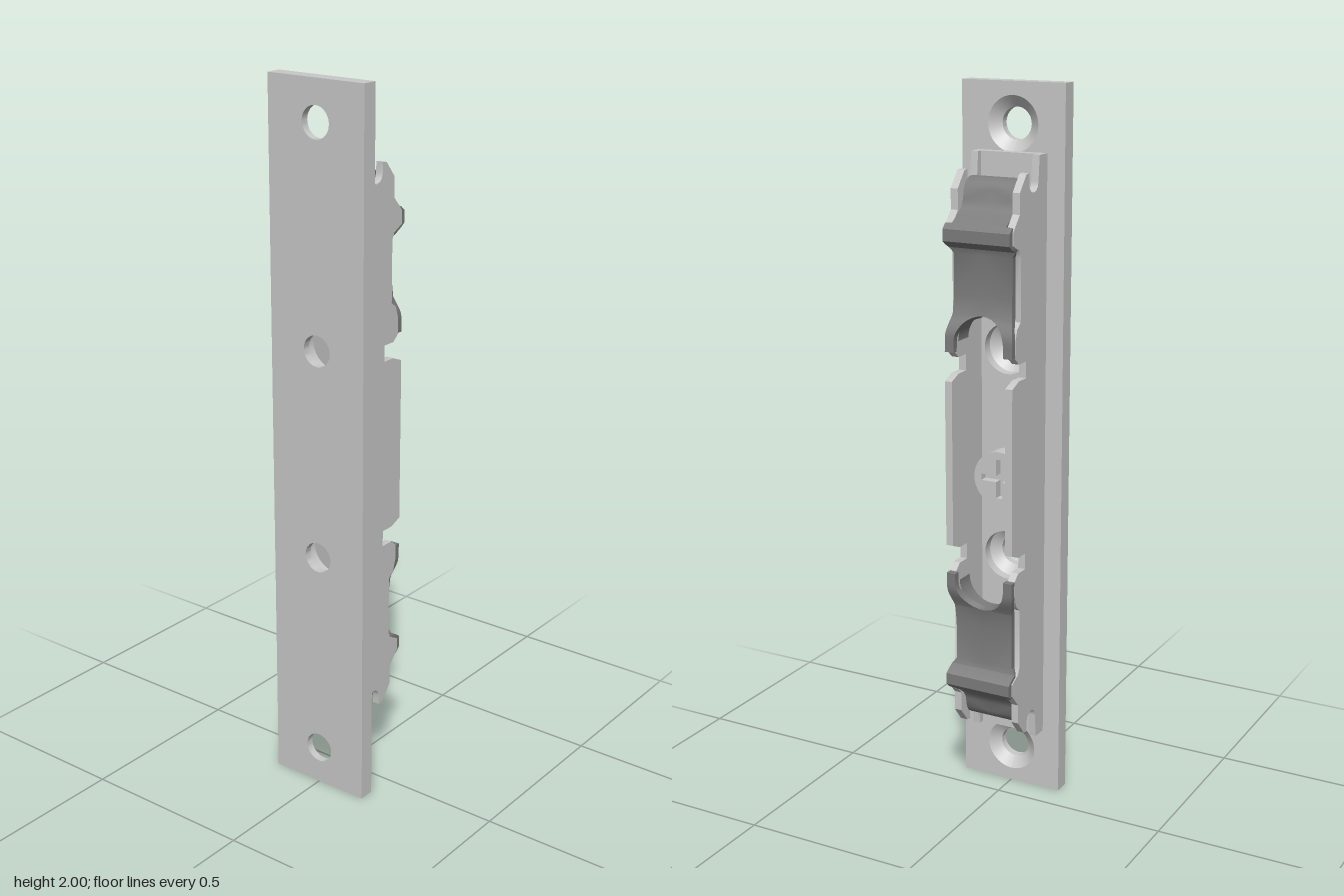
import * as THREE from 'three';
import { toCreasedNormals } from 'three/addons/utils/BufferGeometryUtils.js';

const steel = new THREE.MeshStandardMaterial({ color: 0xc8c8c8 });
steel.name = 'light steel';
const steelThin = steel; // one colour for plate, channel and screw
const spring = new THREE.MeshStandardMaterial({ color: 0x7c7c7c, side: THREE.DoubleSide });
spring.name = 'dark spring steel';

const HOLES = [0.11, 0.705, 1.295, 1.89];

function add(parent, name, geometry, material) {
  const mesh = new THREE.Mesh(geometry, material);
  mesh.name = name;
  parent.add(mesh);
  return mesh;
}

// Upright slab between z0 and z1, pierced by round holes on the centre line
function slab(halfWidth, y0, y1, z0, z1, holes, radius) {
  const shape = new THREE.Shape([[-halfWidth, y0], [halfWidth, y0], [halfWidth, y1], [-halfWidth, y1]]
    .map(([x, y]) => new THREE.Vector2(x, y)));
  for (const y of holes) {
    shape.holes.push(new THREE.Path().absarc(0, y, radius, 0, Math.PI * 2, true));
  }
  const g = new THREE.ExtrudeGeometry(shape, { depth: z1 - z0, bevelEnabled: false, curveSegments: 20 });
  g.translate(0, 0, z0);
  return toCreasedNormals(g, 0.6);
}

// Side wall outline as [z, y]; the upper half is mirrored about y = 1
function wallGeometry(x0, x1) {
  const half = [[0.08, 1.82], [0.036, 1.82], [0.03, 1.755]];
  for (let i = 0; i <= 6; i++) { // rounded slot bottom
    const a = Math.PI * i / 6;
    half.push([0.004 + 0.026 * Math.cos(a), 1.753 - 0.026 * Math.sin(a)]);
  }
  half.push([-0.022, 1.78], [-0.038, 1.778], [-0.073, 1.735], [-0.073, 1.68], [-0.108, 1.64],
    [-0.108, 1.605], [-0.075, 1.588], [-0.066, 1.57], [-0.066, 1.40], [-0.085, 1.385],
    [-0.096, 1.35], [-0.096, 1.308], [-0.075, 1.29], [-0.035, 1.29], [-0.035, 1.245],
    [-0.075, 1.245], [-0.112, 1.23]);
  const all = half.concat(half.slice().reverse().map(([z, y]) => [z, 2 - y]));
  const shape = new THREE.Shape(all.map(([z, y]) => new THREE.Vector2(z, y)));
  const g = new THREE.ExtrudeGeometry(shape, { depth: x1 - x0, bevelEnabled: false });
  g.rotateY(-Math.PI / 2);
  g.translate(x1, 0, 0);
  return toCreasedNormals(g, 0.6);
}

// Half of a bent spring strip, swept through stations [z, y, inner x, outer x]
function stripGeometry(stations, side, flipY) {
  const t = 0.018, pos = [], index = [];
  stations.forEach(([z, y, xi, xo], i) => {
    const a = stations[Math.max(i - 1, 0)], b = stations[Math.min(i + 1, stations.length - 1)];
    const dz = b[0] - a[0], dy = b[1] - a[1], len = Math.hypot(dz, dy);
    const nz = -dy / len * t, ny = dz / len * t; // towards the inside of the channel
    const put = (x, zz, yy) => pos.push(x * side, flipY ? 2 - yy : yy, zz);
    put(xi, z, y);
    put(xo, z, y);
    put(xo, z + nz, y + ny);
    put(xi, z + nz, y + ny);
  });
  const flip = (side < 0) !== flipY;
  const quad = (a, b, c, d) => index.push(...(flip ? [a, c, b, a, d, c] : [a, b, c, a, c, d]));
  for (let i = 0; i < stations.length - 1; i++) {
    const p = i * 4, q = p + 4;
    for (let k = 0; k < 4; k++) {
      if (k === 3 && stations[i][2] === 0 && stations[i + 1][2] === 0) continue; // closed centre seam
      const n = (k + 1) % 4;
      quad(p + k, p + n, q + n, q + k);
    }
  }
  const e = (stations.length - 1) * 4;
  quad(3, 2, 1, 0);
  quad(e, e + 1, e + 2, e + 3);
  const g = new THREE.BufferGeometry();
  g.setAttribute('position', new THREE.Float32BufferAttribute(pos, 3));
  g.setIndex(index);
  return toCreasedNormals(g, 0.6);
}

function springStations() {
  const s = [[0.003, 1.762, 0, 0.079], [-0.016, 1.76, 0, 0.079], [-0.032, 1.75, 0, 0.079],
    [-0.043, 1.733, 0, 0.079], [-0.048, 1.705, 0, 0.079], [-0.058, 1.685, 0, 0.079],
    [-0.08, 1.668, 0, 0.079], [-0.106, 1.652, 0, 0.079], [-0.107, 1.651, 0, 0.098],
    [-0.123, 1.637, 0, 0.098], [-0.123, 1.605, 0, 0.098], [-0.108, 1.594, 0, 0.098],
    [-0.09, 1.585, 0, 0.098], [-0.085, 1.57, 0, 0.086], [-0.085, 1.46, 0, 0.086]];
  // lower end flares out around an arched cut-out
  const r = 0.074, yc = 1.336;
  for (let i = 0; i <= 8; i++) {
    const a = Math.PI / 2 * (1 - i / 8), y = yc + r * Math.sin(a);
    const k = THREE.MathUtils.smoothstep(1.43 - y, 0, 0.08);
    s.push([-0.086 - 0.026 * k, y, i ? r * Math.cos(a) : 0, 0.086 + 0.014 * k]);
  }
  s.push([-0.113, 1.31, r, 0.1]);
  return s;
}

export function createModel() {
  const model = new THREE.Group();
  model.name = 'springCatchOnPlate';

  // Mounting plate with countersunk holes opening to the back
  const plate = new THREE.Group();
  plate.name = 'mountingPlate';
  model.add(plate);
  add(plate, 'plateFront', slab(0.152, 0, 2, 0.103, 0.125, HOLES, 0.043), steel);
  add(plate, 'plateBack', slab(0.152, 0, 2, 0.08, 0.103, HOLES, 0.074), steel);
  for (const y of HOLES) {
    const cone = new THREE.CylinderGeometry(0.043, 0.074, 0.023, 40, 1, true);
    cone.rotateX(Math.PI / 2);
    cone.translate(0, y, 0.0915);
    // turn the faces towards the hole axis
    const ix = cone.index;
    for (let i = 0; i < ix.count; i += 3) {
      const b = ix.getX(i + 1);
      ix.setX(i + 1, ix.getX(i + 2));
      ix.setX(i + 2, b);
    }
    cone.computeVertexNormals();
    add(plate, 'countersink', cone, steel);
  }

  // U-shaped channel
  const channel = new THREE.Group();
  channel.name = 'channel';
  model.add(channel);
  add(channel, 'channelWeb', slab(0.08, 0.18, 1.82, 0.052, 0.08, [0.705, 1.295], 0.07), steel);
  add(channel, 'leftWall', wallGeometry(0.08, 0.101), steel);
  add(channel, 'rightWall', wallGeometry(-0.101, -0.08), steel);

  // Two spring clips, mirrored about mid height
  const stations = springStations();
  for (const flipY of [false, true]) {
    const clip = new THREE.Group();
    clip.name = flipY ? 'lowerSpringClip' : 'upperSpringClip';
    model.add(clip);
    for (const side of [1, -1]) add(clip, 'springHalf', stripGeometry(stations, side, flipY), spring);
    // inward collar behind the arch
    const collar = new THREE.CylinderGeometry(0.075, 0.075, 0.055, 24, 1, true, -Math.PI / 2, Math.PI);
    collar.rotateX(flipY ? Math.PI / 2 : -Math.PI / 2);
    collar.translate(0, flipY ? 2 - 1.336 : 1.336, -0.0575);
    add(clip, 'archCollar', collar, spring);
  }

  // Screw with a cross recess
  const screw = new THREE.Group();
  screw.name = 'screw';
  screw.position.set(0, 0.94, 0);
  model.add(screw);
  const base = new THREE.CylinderGeometry(0.077, 0.077, 0.025, 40);
  base.rotateX(Math.PI / 2);
  base.translate(0, 0, 0.0395);
  add(screw, 'screwHeadBase', base, steelThin);
  const face = new THREE.Shape().absarc(0, 0, 0.077, 0, Math.PI * 2, false);
  const l = 0.055, w = 0.009;
  face.holes.push(new THREE.Path([[l, w], [w, w], [w, l], [-w, l], [-w, w], [-l, w],
    [-l, -w], [-w, -w], [-w, -l], [w, -l], [w, -w], [l, -w]].map(([x, y]) => new THREE.Vector2(x, y))));
  const head = new THREE.ExtrudeGeometry(face, { depth: 0.024, bevelEnabled: false, curveSegments: 40 });
  head.translate(0, 0, 0.003);
  add(screw, 'screwHead', toCreasedNormals(head, 0.6), steel);

  return model;
}
